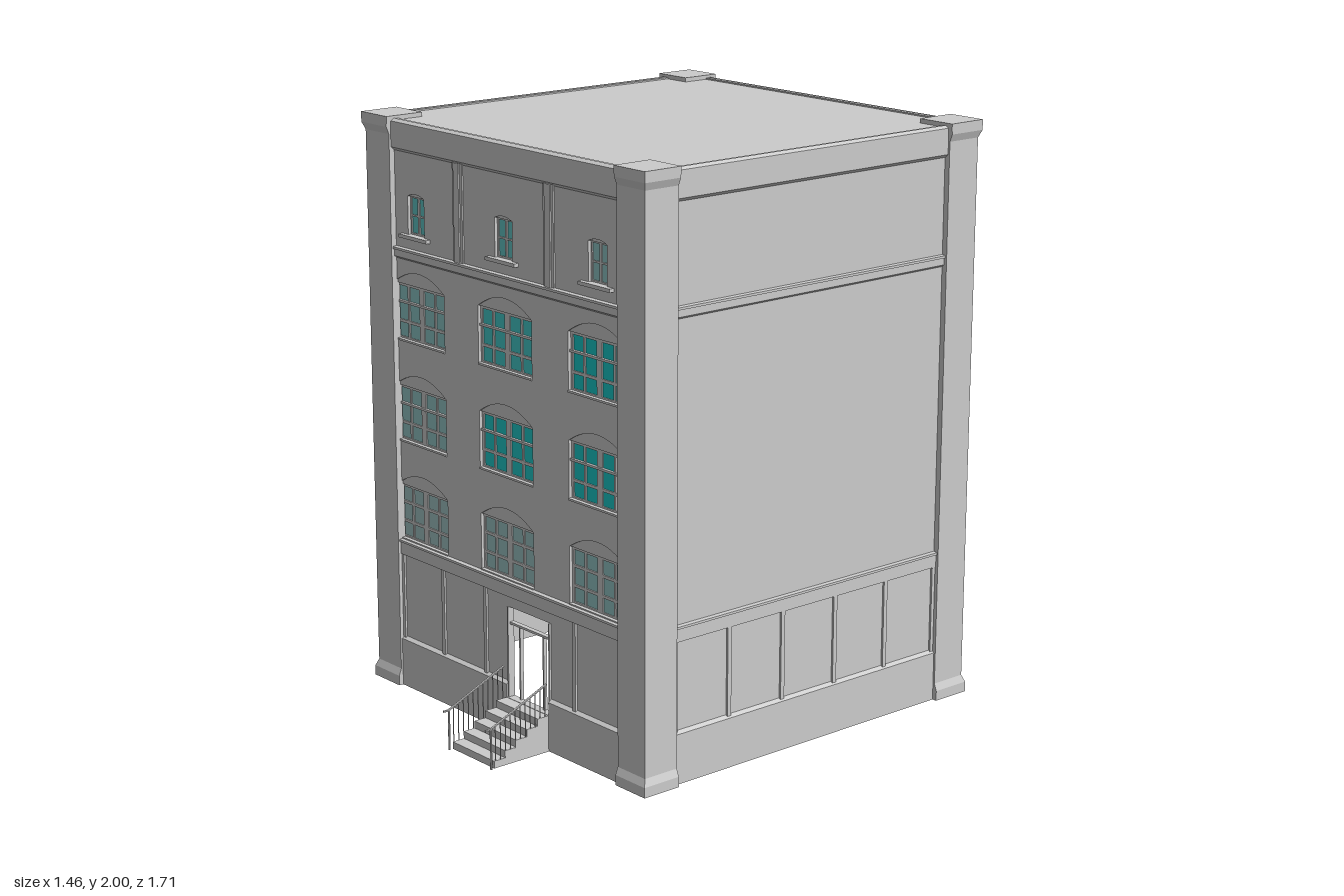
import * as THREE from 'three';

const grey = new THREE.MeshStandardMaterial({ color: 0xcccccc, side: THREE.DoubleSide, flatShading: true });

function add(parent, name, geometry, material = grey) {
  const mesh = new THREE.Mesh(geometry, material);
  mesh.name = name;
  parent.add(mesh);
  return mesh;
}

// Box given by its limits on each axis
function box(parent, name, x0, x1, y0, y1, z0, z1) {
  const mesh = add(parent, name, new THREE.BoxGeometry(x1 - x0, y1 - y0, z1 - z0));
  mesh.position.set((x0 + x1) / 2, (y0 + y1) / 2, (z0 + z1) / 2);
  return mesh;
}

// Thin rod between two points
function rod(parent, name, a, b, radius) {
  const d = b.clone().sub(a);
  const mesh = add(parent, name, new THREE.CylinderGeometry(radius, radius, d.length(), 6));
  mesh.position.copy(a).addScaledVector(d, 0.5);
  mesh.quaternion.setFromUnitVectors(new THREE.Vector3(0, 1, 0), d.normalize());
  return mesh;
}

// Horizontal moulding with sloped top and bottom edges
function band(parent, name, x0, x1, y0, y1, out, slopeTop, slopeBottom) {
  const back = -0.016;
  const s = new THREE.Shape([
    [back, y0], [out, y0 + slopeBottom], [out, y1 - slopeTop], [back, y1],
  ].map(p => new THREE.Vector2(...p)));
  const g = new THREE.ExtrudeGeometry(s, { depth: x1 - x0, bevelEnabled: false });
  g.rotateY(-Math.PI / 2).scale(-1, 1, 1);
  // mirrored above, so restore the order of corners
  const p = g.attributes.position;
  for (let i = 0; i < p.count; i += 3) {
    const a = new THREE.Vector3().fromBufferAttribute(p, i);
    const b = new THREE.Vector3().fromBufferAttribute(p, i + 1);
    p.setXYZ(i, b.x, b.y, b.z);
    p.setXYZ(i + 1, a.x, a.y, a.z);
  }
  g.computeVertexNormals();
  add(parent, name, g).position.x = x0;
}

// Rectangle with a shallow arched head
function arched(Type, cx, y, half, h, rise) {
  const p = new Type();
  p.moveTo(cx - half, y).lineTo(cx + half, y).lineTo(cx + half, y + h);
  p.quadraticCurveTo(cx, y + h + 2 * rise, cx - half, y + h);
  p.closePath();
  return p;
}

// Window openings, with glass tints from bottom row to top row
const WINDOWS = [];
[
  { y: 0.533, tints: [0xa2c5c5, 0x9cc6c6, 0x94c8c8] },
  { y: 0.885, tints: [0x94c8c8, 0x20cccc, 0x1acccc] },
  { y: 1.24, tints: [0x8cc8c8, 0x44cccc, 0x18cccc] },
].forEach(({ y, tints }, row) => tints.forEach((tint, i) => WINDOWS.push(
  { x: (i - 1) * 0.465, y, tint, half: 0.14, h: 0.195, rise: 0.047, large: true, rail: row > 0 })));
[0x60c8c8, 0x64c8c8, 0x90c8c8].forEach((tint, i) => WINDOWS.push(
  { x: (i - 1) * 0.472, y: 1.61, tint, half: 0.045, h: 0.13, rise: 0.01, large: false }));

function makeWindow({ x, y, tint, half, h, rise, large, rail }) {
  const g = new THREE.Group();
  g.name = large ? 'archedWindow' : 'atticWindow';
  g.position.set(x, y, -0.03);
  const pane = add(g, 'glass', new THREE.PlaneGeometry(half * 2, h),
    new THREE.MeshStandardMaterial({ color: tint, side: THREE.DoubleSide }));
  pane.position.y = h / 2;

  const t = large ? 0.005 : 0.003, d = 0.004;
  const upright = (cx, w) => box(g, 'mullion', cx - w, cx + w, 0, h, -d, d);
  const cross = cy => box(g, 'glazingBar', -half, half, cy - t, cy + t, -d, d);
  upright(0, large ? 0.013 : 0.005);
  for (const s of [-1, 1]) {
    upright(s * (half - t), t);
    if (large) upright(s * 0.074, t);
  }
  (large ? [t, 0.063, 0.13, h - t] : [t, h / 2, h - t]).forEach(cross);
  if (rail) box(g, 'meetingRail', -half, half, 0.127, 0.135, -d, 0.01);

  // Arched head filling the opening above the glass
  const head = add(g, 'archHead', new THREE.ExtrudeGeometry(
    arched(THREE.Shape, 0, h, half, 0.0001, rise), { depth: 0.015, bevelEnabled: false, curveSegments: 16 }));
  head.position.z = -0.004;
  if (large) box(g, 'sill', -half, half, -0.003, 0.004, -d, 0.018);
  else box(g, 'sill', -0.077, 0.077, -0.012, 0, -d, 0.032);
  return g;
}

// One side of the building; local z = 0 is the outermost moulding face
function makeWall(isFront) {
  const g = new THREE.Group();
  g.name = isFront ? 'frontWall' : 'plainWall';
  const W = 0.59;
  const shape = new THREE.Shape();
  shape.moveTo(-0.7, 0).lineTo(0.7, 0).lineTo(0.7, 1.99).lineTo(-0.7, 1.99).closePath();
  if (isFront) {
    for (const w of WINDOWS) shape.holes.push(arched(THREE.Path, w.x, w.y, w.half, w.h, w.rise));
    const door = new THREE.Path();
    door.moveTo(0.003, 0.125).lineTo(0.225, 0.125).lineTo(0.225, 0.44).lineTo(0.003, 0.44).closePath();
    shape.holes.push(door);
  }
  const panel = add(g, 'wallPanel', new THREE.ExtrudeGeometry(shape,
    { depth: 0.018, bevelEnabled: false, curveSegments: 16 }));
  panel.position.z = -0.033;

  // Plinth and belt courses
  if (isFront) {
    band(g, 'plinth', -W, 0.003, 0, 0.18, -0.002, 0.01, 0);
    band(g, 'plinth', 0.225, W, 0, 0.18, -0.002, 0.01, 0);
    band(g, 'plinth', 0.003, 0.225, 0, 0.125, -0.002, 0, 0);
  } else band(g, 'plinth', -W, W, 0, 0.18, -0.002, 0.01, 0);
  band(g, 'lowerBelt', -W, W, 0.475, 0.525, -0.005, 0, 0.004);
  band(g, 'lowerBeltLip', -W, W, 0.523, 0.533, 0, 0.002, 0);
  band(g, 'upperBelt', -W, W, 1.52, 1.553, -0.006, 0, 0.008);
  band(g, 'upperBeltLip', -W, W, 1.55, 1.562, 0, 0.002, 0.002);
  band(g, 'cornice', -W, W, 1.885, 1.992, -0.002, 0.008, 0.012);

  // Slim ribs on the ground storey
  for (const x of [-0.582, -0.352, -0.118, 0.118, 0.352, 0.582]) {
    if (isFront && x === 0.118) continue;
    box(g, 'rib', x - 0.008, x + 0.008, 0.175, 0.478, -0.016, -0.008);
  }

  if (isFront) {
    WINDOWS.forEach(w => g.add(makeWindow(w)));
    // Attic pilasters: broad strip with a raised centre
    for (const s of [-1, 1]) {
      const x = s * 0.236;
      box(g, 'atticPilaster', x - 0.026, x + 0.026, 1.56, 1.89, -0.016, -0.01);
      box(g, 'atticPilasterFace', x - 0.014, x + 0.014, 1.56, 1.89, -0.011, -0.005);
    }
    // Open door frame
    box(g, 'doorTransom', 0.003, 0.225, 0.38, 0.388, -0.033, -0.015);
    for (const x of [0.054, 0.178]) box(g, 'doorMullion', x - 0.003, x + 0.003, 0.125, 0.38, -0.033, -0.02);
    for (const x of [0.005, 0.223]) box(g, 'doorJamb', x - 0.003, x + 0.003, 0.125, 0.44, -0.033, -0.008);
  }
  return g;
}

// Hollow corner pier, open to the inside, with flared base and cap
function makePier() {
  const g = new THREE.Group();
  g.name = 'cornerPier';
  const levels = [[0, 0], [0.035, 0], [0.06, 0.01], [1.94, 0.01], [1.965, 0], [1.975, 0]];
  const rings = levels.map(([y, inset]) => {
    const o = 0.73 - inset, i = 0.587;
    return [[i, 0.69], [i, o], [o, o], [o, i], [0.69, i]].map(([x, z]) => [x, y, z]);
  });
  const v = [];
  for (let k = 0; k + 1 < rings.length; k++)
    for (let j = 0; j < 4; j++) {
      const a = rings[k][j], b = rings[k][j + 1], c = rings[k + 1][j + 1], d = rings[k + 1][j];
      v.push(...a, ...b, ...c, ...a, ...c, ...d);
    }
  const geo = new THREE.BufferGeometry();
  geo.setAttribute('position', new THREE.Float32BufferAttribute(v, 3));
  geo.computeVertexNormals();
  add(g, 'pierShaft', geo);
  box(g, 'pierCap', 0.585, 0.73, 1.975, 2, 0.585, 0.73);
  return g;
}

function makeStoop() {
  const g = new THREE.Group();
  g.name = 'stoop';
  const n = 5, run = 0.045;
  for (let i = 0; i < n; i++) {
    const z = 0.59 + i * run;
    box(g, 'step', 0.005, 0.228, 0, 0.125 - i * 0.025, z, z + run);
  }
  const V = (x, y, z) => new THREE.Vector3(x, y, z);
  const railY = z => 0.235 - (z - 0.605) * 0.43;
  for (const x of [0.004, 0.229]) {
    rod(g, 'handrail', V(x, railY(0.6), 0.6), V(x, railY(0.83), 0.83), 0.004);
    rod(g, 'handrailEnd', V(x, railY(0.83), 0.83), V(x, railY(0.83), 0.85), 0.004);
    rod(g, 'newelPost', V(x, 0, 0.828), V(x, railY(0.828), 0.828), 0.004);
    for (let i = 0; i < 11; i++) {
      const z = 0.605 + i * 0.0205;
      const foot = 0.125 - Math.min(4, Math.floor((z - 0.59) / run)) * 0.025;
      rod(g, 'baluster', V(x, foot, z), V(x, railY(z), z), 0.0018);
    }
  }
  return g;
}

export function createModel() {
  const model = new THREE.Group();
  model.name = 'building';
  const block = new THREE.Group();
  block.name = 'block';
  block.position.z = -0.125;
  model.add(block);

  // Four matching sides and corners; the first is the front
  for (let i = 0; i < 4; i++) {
    const side = new THREE.Group();
    side.name = 'side';
    side.rotation.y = i * Math.PI / 2;
    const wall = makeWall(i === 0);
    wall.position.z = 0.715;
    side.add(wall, makePier());
    block.add(side);
  }
  box(block, 'roof', -0.695, 0.695, 1.975, 1.985, -0.695, 0.695);
  model.add(makeStoop());
  return model;
}
